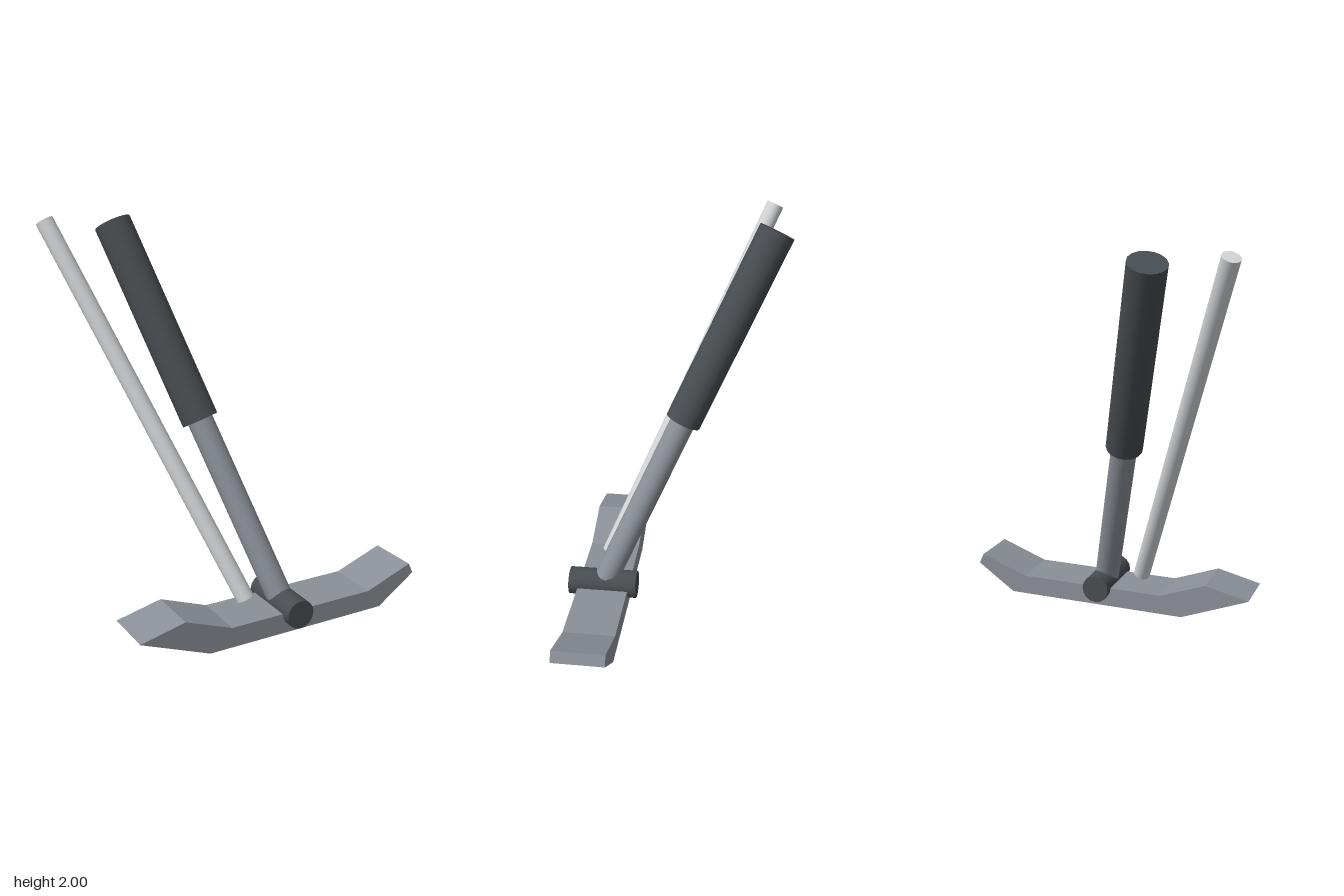
import * as THREE from 'three';

const material = (name, color) => {
  const m = new THREE.MeshStandardMaterial({ color });
  m.name = name;
  return m;
};

// Closed cylinder running from point a to point b
function bar(name, a, b, radius, mat, sides = 16) {
  const start = new THREE.Vector3(...a);
  const end = new THREE.Vector3(...b);
  const axis = end.clone().sub(start);
  const mesh = new THREE.Mesh(new THREE.CylinderGeometry(radius, radius, axis.length(), sides), mat);
  mesh.position.copy(start).add(end).multiplyScalar(0.5);
  mesh.quaternion.setFromUnitVectors(new THREE.Vector3(0, 1, 0), axis.normalize());
  mesh.name = name;
  return mesh;
}

export function createModel() {
  const steel = material('grey steel', 0x8b9098);
  const dark = material('dark grey', 0x484d51);
  const silver = material('pale silver', 0xd2d4d6);
  const model = new THREE.Group();
  model.name = 'leverTool';

  // Flat-bottomed foot with upturned ends: pointed on one side, blunt on the other
  const profile = [
    [-0.755, 0.145], [-0.39, 0], [0.61, 0], [0.82, 0.145],
    [0.795, 0.2], [0.535, 0.105], [-0.27, 0.105], [-0.52, 0.2],
  ].map(([x, y]) => new THREE.Vector2(x, y));
  const foot = new THREE.Mesh(
    new THREE.ExtrudeGeometry(new THREE.Shape(profile), { depth: 0.272, bevelEnabled: false }), steel);
  foot.position.z = 0.234;
  foot.name = 'foot';
  model.add(foot);

  // Cross pin through the foot
  model.add(bar('pivotPin', [0.09, 0.105, 0.19], [0.09, 0.105, 0.555], 0.074, dark));

  // Leaning shaft and its thicker grip share one axis
  const gripBase = [-0.155, 0.99, -0.03];
  model.add(bar('shaft', [0.09, 0.105, 0.372], gripBase, 0.066, steel));
  model.add(bar('grip', gripBase, [-0.413, 1.946, -0.467], 0.094, dark));

  // Slim loose rod beside the handle
  model.add(bar('rod', [-0.12, 0.165, 0.37], [-0.778, 1.978, -0.442], 0.045, silver));

  return model;
}
